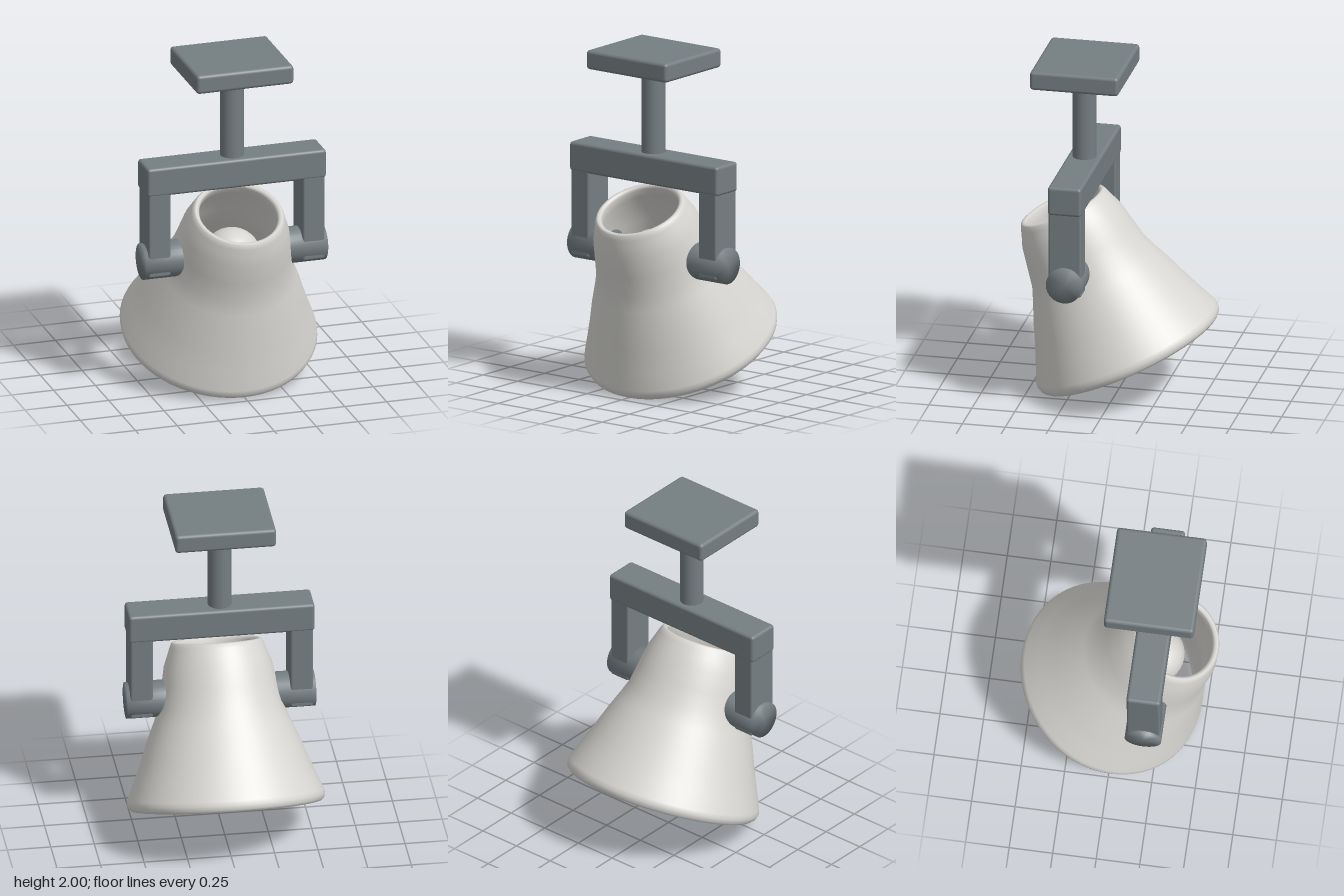
import * as THREE from 'three';
import { RoundedBoxGeometry } from 'three/addons/geometries/RoundedBoxGeometry.js';

export function createModel() {
  const model = new THREE.Group();
  const metal = new THREE.MeshStandardMaterial({ color: 0x757e82 });
  metal.name = 'grey metal';
  const enamel = new THREE.MeshStandardMaterial({ color: 0xd6d5d1 });
  enamel.name = 'pale enamel';

  const PIVOT_Z = 0.205, PIVOT_Y = 0.81;

  function add(name, geometry, material, x, y, z) {
    const mesh = new THREE.Mesh(geometry, material);
    mesh.name = name;
    mesh.position.set(x, y, z);
    model.add(mesh);
    return mesh;
  }
  const lathe = (points, segments) =>
    new THREE.LatheGeometry(points.map(([r, y]) => new THREE.Vector2(r, y)), segments);

  // Ceiling plate, stem and crossbar
  add('ceilingPlate', new RoundedBoxGeometry(0.58, 0.112, 0.516, 3, 0.02), metal, 0, 1.944, PIVOT_Z - 0.002);
  add('stem', new THREE.CylinderGeometry(0.068, 0.068, 0.52, 32), metal, 0, 1.64, PIVOT_Z);
  add('crossbar', new RoundedBoxGeometry(1.068, 0.172, 0.195, 3, 0.018), metal, 0, 1.316, PIVOT_Z);

  // Side arms with pivot knobs that reach through the shade wall
  const knob = lathe([[0, -0.135], [0.085, -0.135], [0.105, -0.115], [0.105, 0.135], [0, 0.135]], 32);
  for (const side of [1, -1]) {
    const name = side > 0 ? 'left' : 'right';
    add(name + 'Arm', new RoundedBoxGeometry(0.13, 0.56, 0.19, 3, 0.012), metal, side * 0.46, 1.018, PIVOT_Z);
    add(name + 'Knob', knob, metal, side * 0.407, PIVOT_Y, PIVOT_Z).rotation.z = -side * Math.PI / 2;
  }

  // Tilted bell shade: outer wall upwards, over the neck rim, inner wall back down
  const shadeProfile = [
    [0.522, 0.2], [0.53, 0.188], [0.545, 0.186], [0.56, 0.2], [0.567, 0.225], [0.56, 0.25],
    [0.518, 0.35], [0.475, 0.455], [0.432, 0.57], [0.385, 0.68], [0.352, 0.765],
    [0.33, 0.88], [0.308, 0.997], [0.284, 1.06], [0.27, 1.1], [0.258, 1.125],
    [0.246, 1.13], [0.232, 1.125], [0.225, 1.11], [0.235, 1.06],
    [0.268, 0.98], [0.292, 0.87], [0.312, 0.765], [0.345, 0.68],
    [0.392, 0.57], [0.435, 0.455], [0.478, 0.35], [0.522, 0.24], [0.522, 0.2],
  ];
  add('shade', lathe(shadeProfile, 64), enamel, 0, 0.066, -0.142).rotation.x = 0.436;

  // Round bulb inside the shade
  add('bulb', new THREE.SphereGeometry(0.17, 32, 20), enamel, 0, 0.775, 0.2);

  return model;
}
